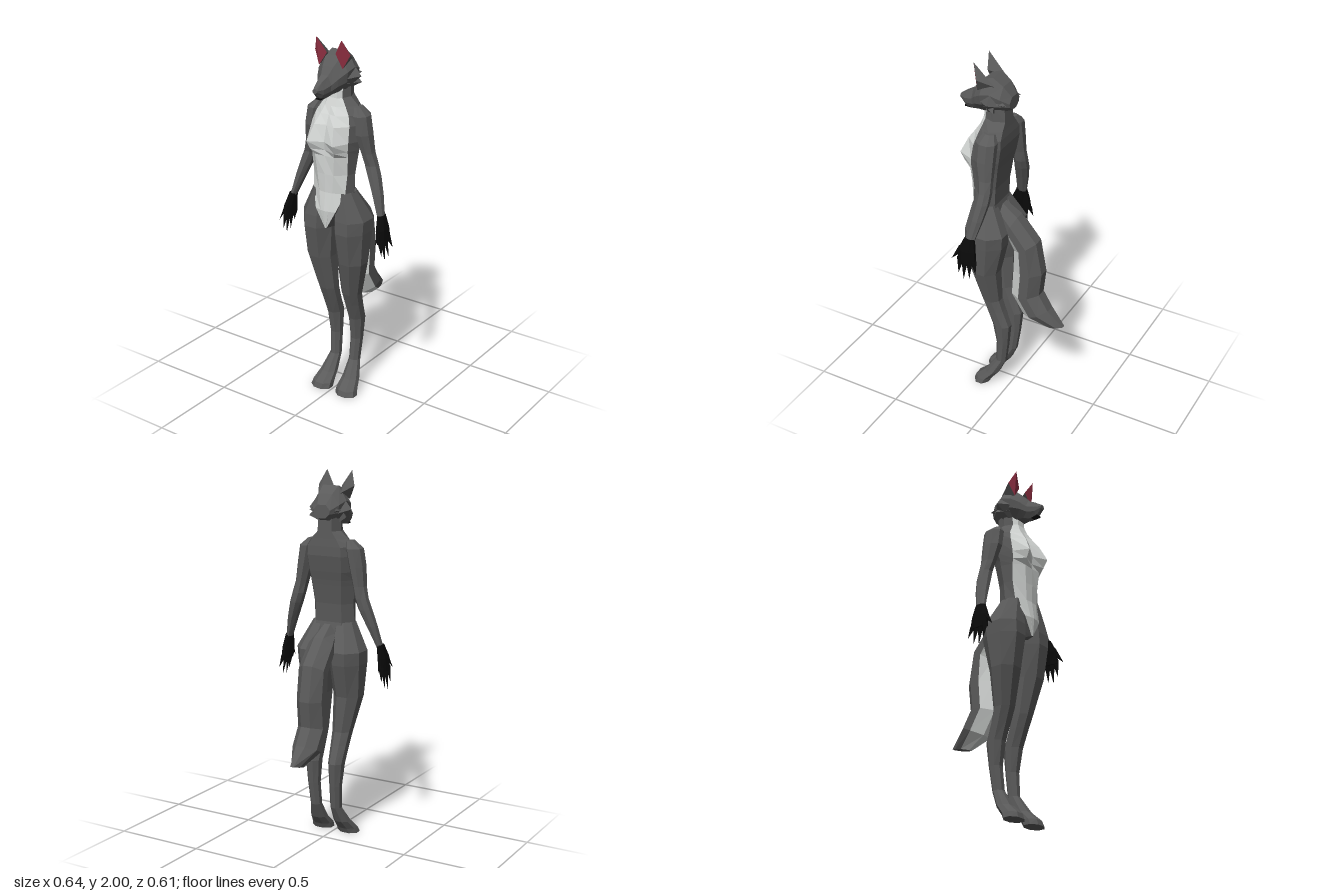
import * as THREE from 'three';

const mat = (name, color) => {
  const m = new THREE.MeshStandardMaterial({ color, flatShading: true, side: THREE.DoubleSide });
  m.name = name;
  return m;
};
const fur = mat('dark grey fur', 0x5a5a5a);
const pale = mat('pale fur', 0xd2d5d3);
const black = mat('black fur', 0x0a0a0a);
const red = mat('inner ear red', 0x923043);

// Closed mesh from triangles [a, b, c, materialIndex]; turned outward by its signed volume
function solid(name, tris, mats) {
  let volume = 0;
  const A = new THREE.Vector3(), B = new THREE.Vector3(), C = new THREE.Vector3();
  const o = tris[0][0];
  const rel = (v, p) => v.set(p[0] - o[0], p[1] - o[1], p[2] - o[2]);
  for (const [a, b, c] of tris) volume += rel(A, a).dot(rel(B, b).cross(rel(C, c)));
  const pos = [], geo = new THREE.BufferGeometry();
  mats.forEach((_, k) => {
    const start = pos.length / 3;
    for (const [a, b, c, m = 0] of tris) {
      if (m === k) pos.push(...a, ...(volume < 0 ? c : b), ...(volume < 0 ? b : c));
    }
    geo.addGroup(start, pos.length / 3 - start, k);
  });
  geo.setAttribute('position', new THREE.Float32BufferAttribute(pos, 3));
  geo.computeVertexNormals();
  const mesh = new THREE.Mesh(geo, mats.length > 1 ? mats : mats[0]);
  mesh.name = name;
  return mesh;
}

// Skin a list of rings, with capped ends
function loft(name, rings, mats, pick = () => 0) {
  const tris = [], n = rings[0].length, last = rings.length - 1;
  for (let i = 0; i < last; i++) {
    for (let j = 0; j < n; j++) {
      const k = (j + 1) % n, m = pick(j);
      const a = rings[i][j], b = rings[i][k], c = rings[i + 1][k], d = rings[i + 1][j];
      tris.push([a, b, c, m], [a, c, d, m]);
    }
  }
  for (let j = 1; j < n - 1; j++) {
    tris.push([rings[0][0], rings[0][j + 1], rings[0][j], 0]);
    tris.push([rings[last][0], rings[last][j], rings[last][j + 1], 0]);
  }
  return solid(name, tris, mats);
}

// Level octagon whose flats touch the given half sizes
function octagon(x, y, z, rx, rz) {
  return Array.from({ length: 8 }, (_, i) => {
    const a = (i + 0.5) * Math.PI / 4, k = 1 / Math.cos(Math.PI / 8);
    return [x + Math.cos(a) * rx * k, y, z + Math.sin(a) * rz * k];
  });
}

// Pyramid from a base polygon to a tip
function spike(name, base, tip, material) {
  const tris = [];
  base.forEach((p, i) => tris.push([p, base[(i + 1) % base.length], tip]));
  for (let i = 1; i < base.length - 1; i++) tris.push([base[0], base[i + 1], base[i]]);
  return solid(name, tris, [material]);
}

// Torso: y, half width, back z, side z, pale edge x z, chest x z, centre z
function torso() {
  const rows = [
    [1.00, .03, .10, .15, .005, .225, .003, .228, .230],
    [1.10, .10, .05, .13, .062, .226, .025, .236, .240],
    [1.20, .122, .07, .14, .10, .190, .04, .222, .227],
    [1.30, .12, .065, .13, .106, .18, .05, .225, .230],
    [1.40, .132, .05, .12, .113, .185, .06, .232, .230],
    [1.43, .138, .045, .12, .115, .19, .075, .252, .228],
    [1.475, .148, .035, .11, .118, .19, .08, .275, .235],
    [1.56, .155, .02, .10, .115, .175, .06, .235, .212],
    [1.61, .15, .02, .09, .10, .16, .045, .200, .190],
    [1.65, .11, .023, .09, .075, .15, .035, .175, .175],
    [1.69, .065, .025, .09, .048, .14, .028, .160, .160],
    [1.78, .062, .03, .09, .045, .13, .025, .150, .150],
  ];
  const rings = rows.map(([y, w, zb, zs, lx, lz, mx, mz, cz]) => {
    const half = [[w * .65, zb + .005], [w, zs], [lx, lz], [mx, mz]];
    return [[0, y, zb + .005], ...half.map(([x, z]) => [x, y, z]), [0, y, cz],
      ...half.reverse().map(([x, z]) => [-x, y, z])];
  });
  return loft('torso', rings, [fur, pale], j => (j >= 3 && j <= 6 ? 1 : 0));
}

// Leg: y, inner x, outer x, back z, front z
function leg(s) {
  const rows = [
    [1.20, .02, .118, .08, .20], [1.05, .004, .192, 0, .225], [.98, .008, .189, .005, .228],
    [.80, .022, .174, .045, .20], [.60, .024, .128, .045, .15], [.53, .026, .12, .025, .125],
    [.43, .03, .112, -.01, .09], [.30, .036, .10, .002, .07], [.17, .034, .092, .02, .08],
    [.08, .028, .118, .06, .14], [.03, .022, .135, .1, .195], [0, .022, .142, .115, .205],
  ];
  return loft(s > 0 ? 'leftLeg' : 'rightLeg', rows.map(([y, a, b, c, d]) =>
    octagon(s * (a + b) / 2, y, (c + d) / 2, (b - a) / 2, (d - c) / 2)), [fur]);
}

// Arm with black hand and clawed fingers
function arm(s) {
  const g = new THREE.Group();
  g.name = s > 0 ? 'leftArm' : 'rightArm';
  const rings = rows => rows.map(([x, y, z, rx, rz]) => octagon(s * x, y, z, rx, rz));
  g.add(loft('armFur', rings([
    [.115, 1.645, .085, .02, .03], [.14, 1.605, .088, .042, .055], [.158, 1.51, .09, .04, .055],
    [.176, 1.41, .08, .032, .042], [.192, 1.345, .072, .034, .036], [.212, 1.29, .077, .033, .038],
    [.245, 1.20, .092, .026, .034], [.284, 1.08, .115, .014, .025],
  ]), [fur]));
  g.add(loft('hand', rings([
    [.283, 1.10, .115, .018, .028], [.297, 1.03, .125, .022, .048], [.304, .96, .122, .018, .052],
  ]), [black]));
  const digit = (name, x, y, z, rx, rz, tip) => g.add(spike(name,
    [[s * (x + rx), y, z], [s * x, y, z + rz], [s * (x - rx), y, z], [s * x, y, z - rz]], tip, black));
  [[.16, .165, .89], [.135, .135, .858], [.108, .10, .87], [.085, .062, .91]].forEach(([z, tz, ty]) =>
    digit('finger', .304, .98, z, .016, .022, [s * .32, ty, tz]));
  digit('thumb', .297, 1.05, .14, .016, .03, [s * .308, .96, .212]);
  return g;
}

// Tail: outer y z, inner y z, half width
function tail() {
  const rows = [
    [1.19, .06, 1.04, .07, .05], [1.13, -.03, 1.00, .03, .075], [1.00, -.145, .92, -.015, .077],
    [.81, -.18, .80, -.01, .077], [.67, -.165, .63, 0, .077], [.58, -.22, .51, -.075, .075],
    [.49, -.305, .46, -.19, .025],
  ];
  const section = [[.37, 0], [1, .3], [1, .62], [.4, 1], [-.4, 1], [-1, .62], [-1, .3], [-.37, 0]];
  const rings = rows.map(([oy, oz, iy, iz, w]) =>
    section.map(([u, t]) => [u * w, oy + (iy - oy) * t, oz + (iz - oz) * t]));
  return loft('tail', rings, [fur, pale], j => (j >= 2 && j <= 4 ? 1 : 0));
}

// Wedge-shaped head: z, top, bottom, half width
function head() {
  const g = new THREE.Group();
  g.name = 'head';
  const rows = [
    [0, 1.83, 1.76, .05], [.04, 1.885, 1.745, .082], [.095, 1.925, 1.735, .095],
    [.15, 1.905, 1.725, .09], [.195, 1.86, 1.72, .065], [.225, 1.82, 1.71, .042],
    [.27, 1.795, 1.71, .03], [.307, 1.77, 1.745, .014],
  ];
  g.add(loft('skull', rows.map(([z, t, b, w]) => {
    const right = [[.5, 1], [1, .6], [.9, .3], [.4, 0]];
    return [...right.map(([u, v]) => [u * w, b + (t - b) * v, z]),
      ...right.reverse().map(([u, v]) => [-u * w, b + (t - b) * v, z])];
  }), [fur]));

  const mouth = new THREE.Mesh(new THREE.BoxGeometry(.03, .008, .04), black);
  mouth.name = 'mouth';
  mouth.position.set(0, 1.712, .26);
  g.add(mouth);

  for (const s of [-1, 1]) {
    // Broad cheek with swept-back tufts
    const tuft = (base, tip) => g.add(spike('cheekTuft',
      base.map(([x, y, z]) => [s * x, y, z]), [s * tip[0], tip[1], tip[2]], fur));
    tuft([[.06, 1.89, .09], [.05, 1.79, .195], [.045, 1.725, .12], [.06, 1.78, .03]], [.128, 1.805, .09]);
    tuft([[.06, 1.83, .08], [.06, 1.77, .16], [.04, 1.725, .09]], [.112, 1.765, .06]);
    tuft([[.06, 1.84, .08], [.09, 1.80, .09], [.04, 1.77, .06]], [.075, 1.80, .005]);
    // Ear with red front
    const tip = [s * .076, 2, .187], inner = [s * .026, 1.92, .168], low = [s * .072, 1.85, .172];
    const outer = [s * .108, 1.922, .155], back = [s * .065, 1.885, .075];
    g.add(solid(s > 0 ? 'leftEar' : 'rightEar', [
      [tip, inner, low, 1], [tip, low, outer, 1],
      [tip, back, inner, 0], [inner, back, low, 0], [low, back, outer, 0], [outer, back, tip, 0],
    ], [fur, red]));
  }
  return g;
}

export function createModel() {
  const model = new THREE.Group();
  model.name = 'standingFox';
  const body = new THREE.Group();
  body.name = 'body';
  body.position.x = .01;
  body.add(torso(), head(), tail(), leg(1), leg(-1));
  model.add(body, arm(1), arm(-1));
  return model;
}
